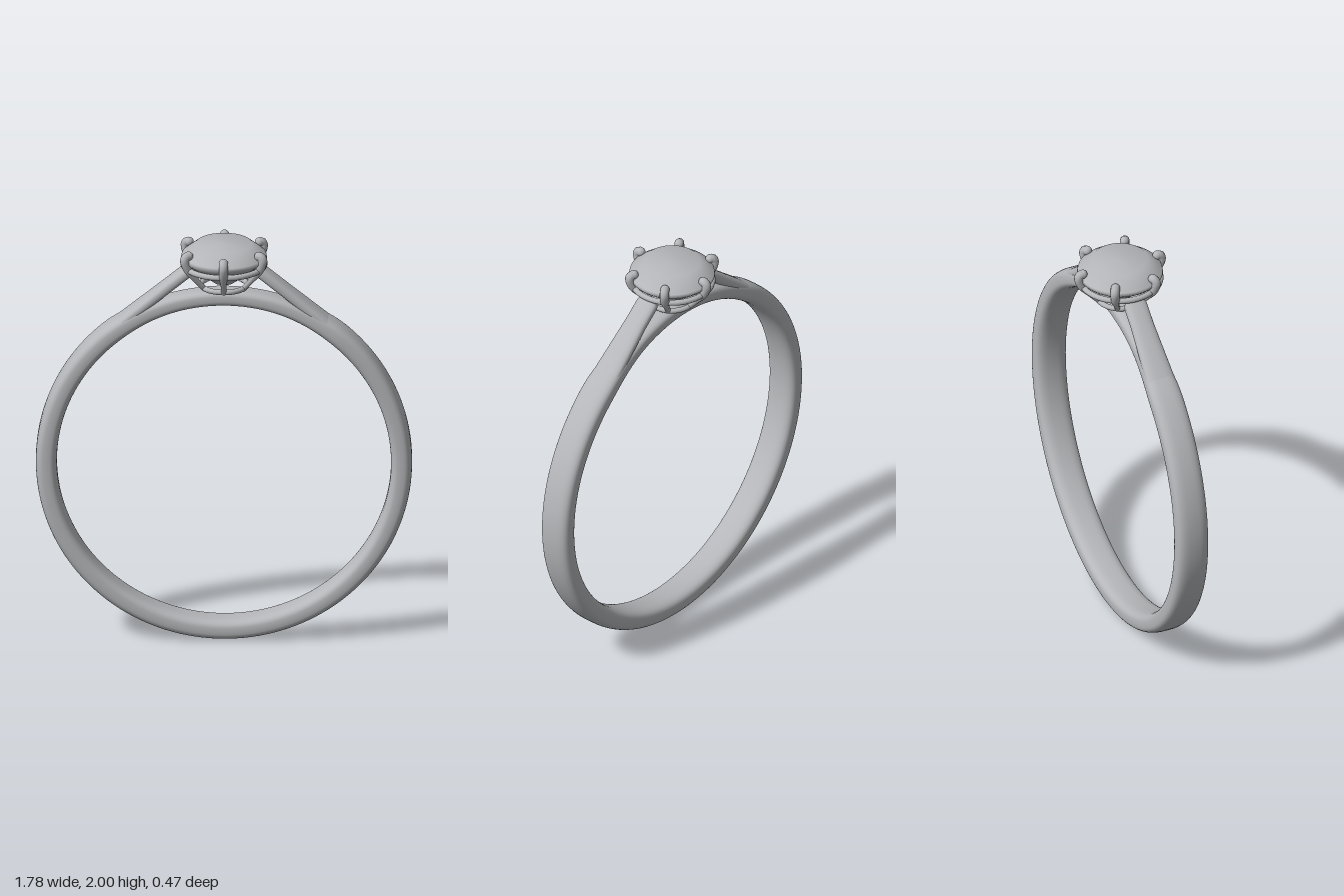
import * as THREE from 'three';

const metal = new THREE.MeshStandardMaterial({ color: 0xb4b6b9 });
metal.name = 'silver grey';

// Sweeps a rounded-rectangle section through frames {x, y, nx, ny, width, depth} in the xy plane
function sweep(frames, closed, power) {
  const sides = 32, pos = [], idx = [];
  const soft = v => Math.sign(v) * Math.pow(Math.abs(v), 2 / power);
  for (const f of frames) {
    for (let j = 0; j < sides; j++) {
      const a = j / sides * Math.PI * 2;
      const u = soft(Math.cos(a)) * f.depth, w = soft(Math.sin(a)) * f.width;
      pos.push(f.x + f.nx * u, f.y + f.ny * u, w);
    }
  }
  const n = frames.length;
  for (let i = 0; i < (closed ? n : n - 1); i++) {
    for (let j = 0; j < sides; j++) {
      const k = (j + 1) % sides, m = (i + 1) % n;
      const a = i * sides + j, b = m * sides + j, c = i * sides + k, d = m * sides + k;
      idx.push(a, b, c, b, d, c);
    }
  }
  const g = new THREE.BufferGeometry();
  g.setAttribute('position', new THREE.Float32BufferAttribute(pos, 3));
  g.setIndex(idx);
  g.computeVertexNormals();
  return g;
}

function add(parent, name, geometry) {
  const mesh = new THREE.Mesh(geometry, metal);
  mesh.name = name;
  parent.add(mesh);
  return mesh;
}

export function createModel() {
  const ring = new THREE.Group();
  ring.name = 'ring';

  // Band, slimmer towards the top
  const bandFrames = [];
  for (let i = 0; i < 160; i++) {
    const a = i / 160 * Math.PI * 2, c = Math.cos(a), s = Math.sin(a);
    const t = THREE.MathUtils.smoothstep(s, 0.75, 1);
    const outer = 0.89 - 0.016 * t, inner = 0.79 + 0.005 * t, r = (outer + inner) / 2;
    bandFrames.push({ x: r * c, y: 0.893 + r * s, nx: c, ny: s, width: 0.08 - 0.02 * t, depth: (outer - inner) / 2 });
  }
  add(ring, 'band', sweep(bandFrames, true, 3));

  // Shoulders rising from the band to the setting, with closed rounded ends
  const armFrames = [];
  const start = [0.56, 1.537], end = [0.165, 1.862];
  const length = Math.hypot(end[0] - start[0], end[1] - start[1]);
  const tx = (end[0] - start[0]) / length, ty = (end[1] - start[1]) / length;
  for (const [t, k] of [[0, 0.001], [0, 0.8], [0.03, 1], [0.25, 1], [0.5, 1], [0.75, 1], [0.96, 1], [0.99, 0.85], [1, 0.6], [1, 0.001]]) {
    armFrames.push({
      x: start[0] + tx * length * t, y: start[1] + ty * length * t, nx: ty, ny: -tx,
      width: (0.076 - 0.02 * Math.min(1, t * 1.3)) * k, depth: 0.029 * k,
    });
  }
  const arm = sweep(armFrames, false, 2.6);
  add(ring, 'leftShoulder', arm);
  add(ring, 'rightShoulder', arm).rotation.y = Math.PI;

  // Round cut stone
  const stone = [[0.0, 1.785], [0.05, 1.8], [0.19, 1.91], [0.203, 1.925], [0.2, 1.94], [0.132, 1.995], [0, 2]];
  add(ring, 'stone', new THREE.LatheGeometry(stone.map(p => new THREE.Vector2(...p)), 64));

  // Setting rails
  const setting = new THREE.Group();
  setting.name = 'setting';
  ring.add(setting);
  for (const [name, r, tube, y] of [['upperRail', 0.192, 0.014, 1.89], ['lowerRail', 0.108, 0.013, 1.785]]) {
    const rail = add(setting, name, new THREE.TorusGeometry(r, tube, 12, 64));
    rail.rotation.x = Math.PI / 2;
    rail.position.y = y;
  }

  // Six claws, thicker at the hooked tips
  const claw = new THREE.CatmullRomCurve3(
    [[0.108, 1.785], [0.155, 1.84], [0.198, 1.9], [0.213, 1.945], [0.205, 1.962], [0.192, 1.964]]
      .map(([r, y]) => new THREE.Vector3(0, y, r)));
  const segments = 28, sides = 12;
  const clawGeometry = new THREE.TubeGeometry(claw, segments, 0.022, sides);
  const p = clawGeometry.attributes.position;
  for (let i = 0; i <= segments; i++) {
    const c = claw.getPointAt(i / segments);
    const k = 0.6 + 0.4 * THREE.MathUtils.smoothstep(i / segments, 0.2, 0.7);
    for (let j = 0; j <= sides; j++) {
      const q = i * (sides + 1) + j;
      const v = new THREE.Vector3().fromBufferAttribute(p, q).sub(c).multiplyScalar(k).add(c);
      p.setXYZ(q, v.x, v.y, v.z);
    }
  }
  const tip = new THREE.SphereGeometry(0.022, 16, 12);
  const foot = new THREE.SphereGeometry(0.0145, 12, 8);
  for (let i = 0; i < 6; i++) {
    const prong = new THREE.Group();
    prong.name = 'claw' + (i + 1);
    prong.rotation.y = i * Math.PI / 3;
    add(prong, 'clawStem', clawGeometry);
    add(prong, 'clawTip', tip).position.set(0, 1.964, 0.192);
    add(prong, 'clawFoot', foot).position.set(0, 1.785, 0.108);
    setting.add(prong);
  }
  return ring;
}
